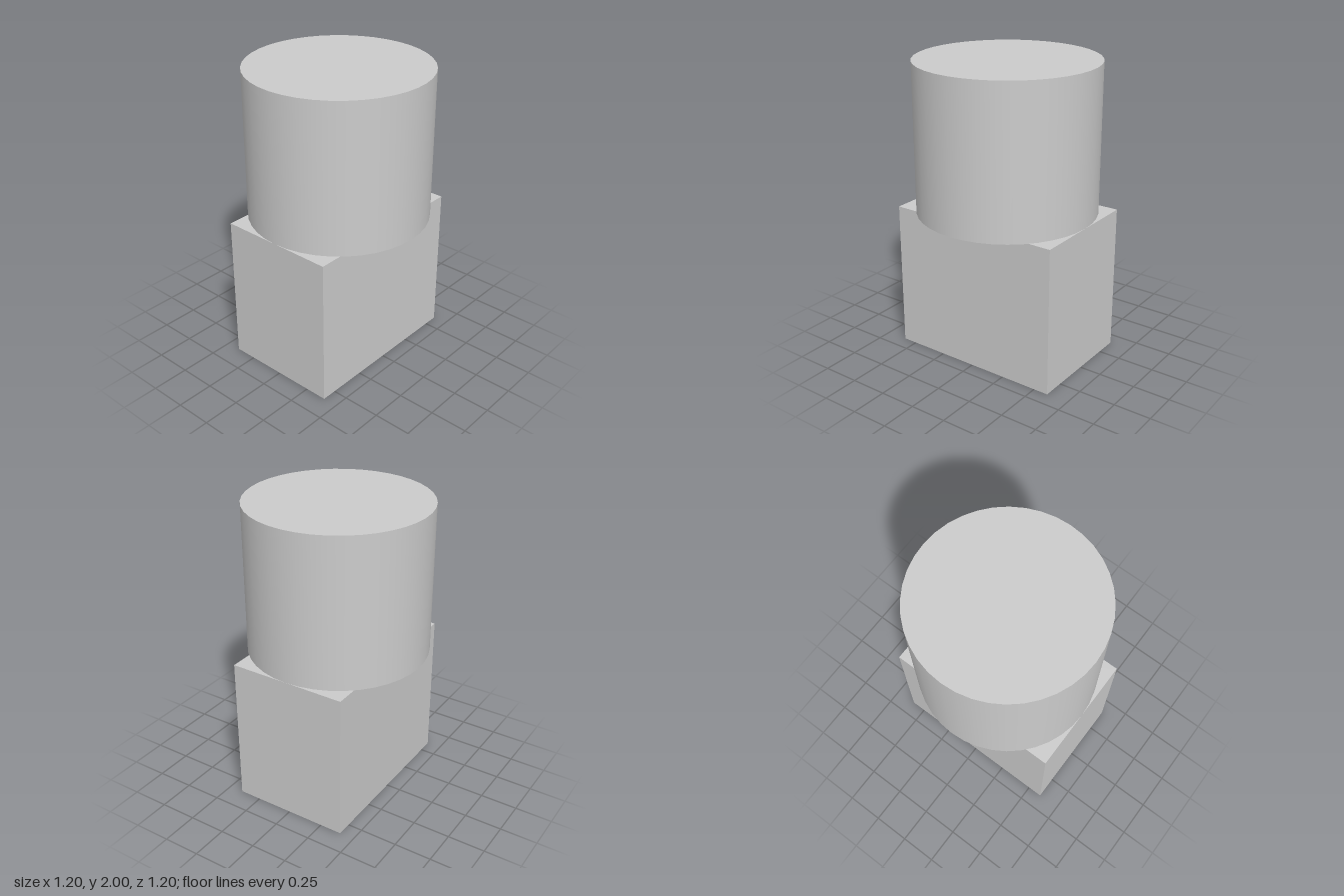
import * as THREE from 'three';

export function createModel() {
  const group = new THREE.Group();
  const material = new THREE.MeshStandardMaterial({ color: 0xcccccc });

  const add = (name, geometry, y) => {
    const mesh = new THREE.Mesh(geometry, material);
    mesh.name = name;
    mesh.position.y = y;
    group.add(mesh);
  };

  // Rectangular block standing on the ground
  add('baseBlock', new THREE.BoxGeometry(1.2, 1, 0.8), 0.5);

  // Smooth cylinder on top, overhanging the block at front and back
  add('upperCylinder', new THREE.CylinderGeometry(0.6, 0.6, 1, 40), 1.5);

  return group;
}
